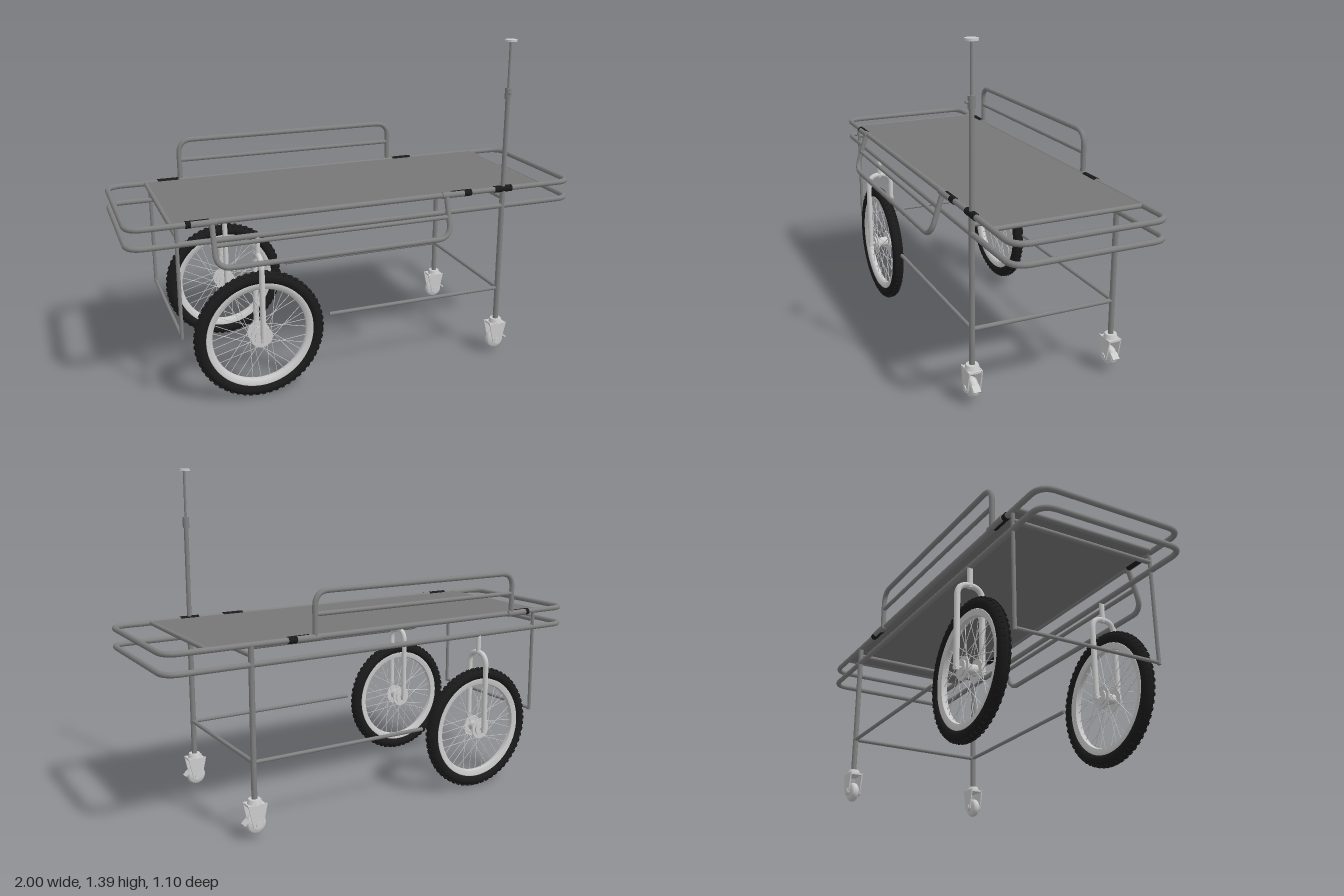
import * as THREE from 'three';
import { mergeGeometries } from 'three/addons/utils/BufferGeometryUtils.js';

const mat = (color) => new THREE.MeshStandardMaterial({ color });
const steel = mat(0x808080), light = mat(0xcccccc), black = mat(0x1a1a1a);
const canvas = mat(0x777777);
const V = (x, y, z) => new THREE.Vector3(x, y, z);

const HALF_L = 0.953, SIDE = 0.305, DECK = 0.765, LOWER = 0.69;
const LEG_X = 0.618, POST_X = -0.77, WHEEL_X = -0.46, AXLE_Y = 0.273;

function add(parent, name, geometry, material, x = 0, y = 0, z = 0) {
  const m = new THREE.Mesh(geometry, material);
  m.name = name;
  m.position.set(x, y, z);
  parent.add(m);
  return m;
}

// Straight cylinder between two points
function rodGeometry(a, b, r, sides = 14) {
  const d = b.clone().sub(a);
  const g = new THREE.CylinderGeometry(r, r, d.length(), sides);
  g.applyQuaternion(new THREE.Quaternion().setFromUnitVectors(V(0, 1, 0), d.normalize()));
  const c = a.clone().add(b).multiplyScalar(0.5);
  return g.translate(c.x, c.y, c.z);
}
const rod = (parent, name, a, b, r, material = steel) =>
  add(parent, name, rodGeometry(a, b, r), material);

// Bent pipe through corner points with rounded bends
function bentPipe(points, bend, r, closed, segments) {
  const path = new THREE.CurvePath();
  const n = points.length;
  const toward = (p, q) => p.clone().add(q.clone().sub(p).setLength(bend));
  let last = closed ? toward(points[0], points[1]) : points[0];
  for (let i = 1; i < (closed ? n + 1 : n - 1); i++) {
    const p = points[i % n];
    const a = toward(p, points[i - 1]), b = toward(p, points[(i + 1) % n]);
    path.add(new THREE.LineCurve3(last, a));
    path.add(new THREE.QuadraticBezierCurve3(a, p, b));
    last = b;
  }
  if (!closed) path.add(new THREE.LineCurve3(last, points[n - 1]));
  return new THREE.TubeGeometry(path, segments, r, 12, closed);
}

// Large spoked wheel, axle along z
function spokedWheel() {
  const g = new THREE.Group();
  g.name = 'largeWheel';
  const tyre = [new THREE.TorusGeometry(0.24, 0.0245, 16, 72)];
  for (let i = 0; i < 60; i++) {
    for (const s of [-1, 1]) {
      const b = new THREE.BoxGeometry(0.013, 0.007, 0.012);
      b.rotateX(s * 0.5).translate(0, 0.2615, s * 0.011);
      tyre.push(b.rotateZ((i + s * 0.25) * Math.PI / 30));
    }
  }
  add(g, 'tyre', mergeGeometries(tyre), black);
  const profile = [[0.196, -0.012], [0.218, -0.018], [0.222, -0.014], [0.216, 0],
    [0.222, 0.014], [0.218, 0.018], [0.196, 0.012], [0.193, 0], [0.196, -0.012]];
  const rim = new THREE.LatheGeometry(profile.map(p => new THREE.Vector2(...p)), 72);
  const rimMesh = add(g, 'rim', rim.rotateX(Math.PI / 2), light);
  rimMesh.material = light.clone();
  rimMesh.material.side = THREE.DoubleSide;

  const spokes = [];
  for (let i = 0; i < 36; i++) {
    const a = i * Math.PI / 18, s = i % 2 ? 1 : -1;
    const h = a + (i % 4 < 2 ? 0.9 : -0.9);
    spokes.push(rodGeometry(V(0.04 * Math.cos(h), 0.04 * Math.sin(h), s * 0.027),
      V(0.197 * Math.cos(a), 0.197 * Math.sin(a), 0), 0.0014, 5));
  }
  add(g, 'spokes', mergeGeometries(spokes), light);
  const z = (r, len, at = 0) =>
    new THREE.CylinderGeometry(r, r, len, 28).rotateX(Math.PI / 2).translate(0, 0, at);
  add(g, 'hub', mergeGeometries([z(0.022, 0.07), z(0.045, 0.005, 0.027),
    z(0.045, 0.005, -0.027), z(0.03, 0.006, 0.033), z(0.03, 0.006, -0.033)]), light);
  add(g, 'axle', mergeGeometries([z(0.006, 0.125), z(0.011, 0.008, 0.058),
    z(0.011, 0.008, -0.058)]), light);
  return g;
}

// Small swivel caster, origin on the ground below its leg
function caster() {
  const g = new THREE.Group();
  g.name = 'caster';
  add(g, 'swivelHead', new THREE.CylinderGeometry(0.024, 0.03, 0.02, 20), light, 0, 0.162);
  add(g, 'forkTop', new THREE.BoxGeometry(0.07, 0.008, 0.054), light, 0, 0.15, 0);
  const plate = new THREE.Shape([[-0.042, 0.155], [-0.03, 0.1], [-0.02, 0.065], [0, 0.055],
    [0.018, 0.065], [0.026, 0.1], [0.038, 0.155]].map(p => new THREE.Vector2(...p)));
  for (const s of [-1, 1]) {
    const p = new THREE.ExtrudeGeometry(plate, { depth: 0.005, bevelEnabled: false });
    add(g, 'forkPlate', p, light, 0, 0, s * 0.026 - 0.0025);
  }
  const wheel = [[0.012, -0.019], [0.033, -0.016], [0.039, -0.009], [0.041, 0],
    [0.039, 0.009], [0.033, 0.016], [0.012, 0.019]];
  const tread = new THREE.LatheGeometry(wheel.map(p => new THREE.Vector2(...p)), 32);
  add(g, 'casterWheel', tread.rotateX(Math.PI / 2), light, -0.003, 0.073, 0);
  add(g, 'casterAxle', new THREE.CylinderGeometry(0.013, 0.013, 0.064, 16)
    .rotateX(Math.PI / 2), light, -0.003, 0.073, 0);
  const pedal = add(g, 'brakePedal', new THREE.BoxGeometry(0.03, 0.006, 0.03), light, 0.038, 0.085, 0);
  pedal.rotation.z = -0.7;
  return g;
}

// Side guard standing up from its hinge line at y = 0
function sideGuard() {
  const g = new THREE.Group();
  g.name = 'sideGuard';
  const x0 = -0.635, x1 = 0.35, h = 0.178;
  add(g, 'guardHoop', bentPipe([V(x0, 0, 0), V(x0, h, 0), V(x1, h, 0), V(x1, 0, 0)],
    0.06, 0.011, false, 130), steel);
  rod(g, 'guardMiddleBar', V(x0, 0.09, 0), V(x1, 0.09, 0), 0.009);
  for (const x of [x0 - 0.03, x1 + 0.03]) rod(g, 'guardFoot', V(x - 0.05, 0, 0), V(x + 0.05, 0, 0), 0.0135);
  return g;
}

export function createModel() {
  const model = new THREE.Group();
  model.name = 'stretcherTrolley';
  const body = new THREE.Group();
  body.name = 'trolleyBody';
  body.rotation.y = 0.274;
  model.add(body);

  // Two stacked loop frames and the lying surface
  for (const y of [DECK, LOWER]) {
    const loop = [[-1, -1], [1, -1], [1, 1], [-1, 1]].map(([i, j]) => V(i * HALF_L, y, j * SIDE));
    add(body, y === DECK ? 'upperFrame' : 'lowerFrame', bentPipe(loop, 0.065, 0.0115, true, 300), steel);
  }
  add(body, 'lyingSurface', new THREE.BoxGeometry(1.58, 0.012, 0.6), canvas, 0, DECK + 0.001, 0);
  for (const x of [-0.787, 0.787]) rod(body, 'surfaceEndBar', V(x, DECK, -SIDE), V(x, DECK, SIDE), 0.0095);

  // Cross bars
  for (const x of [POST_X, LEG_X]) {
    rod(body, 'upperCrossBar', V(x, 0.725, -SIDE), V(x, 0.725, SIDE), 0.0095);
    rod(body, 'lowerCrossBar', V(x, 0.312, -SIDE), V(x, 0.312, SIDE), x > 0 ? 0.009 : 0.007);
  }

  for (const s of [-1, 1]) {
    const z = s * SIDE;
    // Legs, posts and lengthwise bars
    rod(body, 'casterLeg', V(LEG_X, 0.165, z), V(LEG_X, DECK, z), 0.0115);
    rod(body, 'endPost', V(POST_X, 0.305, z), V(POST_X, DECK, z), 0.0075);
    rod(body, 'lowerSideBar', V(-0.165, 0.312, z), V(LEG_X, 0.312, z), 0.008);
    for (const x of [-0.69, 0.42]) rod(body, 'frameClamp', V(x - 0.045, DECK, z), V(x + 0.045, DECK, z), 0.0145, black);

    const c = caster();
    c.position.set(LEG_X, -0.004, z);
    body.add(c);

    // Large wheel with its fork
    const w = spokedWheel();
    w.position.set(WHEEL_X, AXLE_Y, z);
    body.add(w);
    const d = 0.053;
    add(body, 'wheelFork', bentPipe([V(WHEEL_X, AXLE_Y - 0.012, z - d), V(WHEEL_X, 0.61, z - d),
      V(WHEEL_X, 0.61, z + d), V(WHEEL_X, AXLE_Y - 0.012, z + d)], 0.052, 0.0115, false, 90), light);
    rod(body, 'forkStem', V(WHEEL_X, 0.6, z), V(WHEEL_X, LOWER, z), 0.0105, light);
  }

  // One guard raised, the other folded down and outward
  const raised = sideGuard();
  raised.position.set(0, DECK, -SIDE - 0.005);
  body.add(raised);
  const folded = sideGuard();
  folded.position.set(0, DECK, SIDE + 0.004);
  folded.rotation.x = Math.PI - 0.31;
  body.add(folded);

  // Telescopic infusion pole
  const pole = new THREE.Group();
  pole.name = 'infusionPole';
  pole.position.set(LEG_X, 0, SIDE);
  body.add(pole);
  rod(pole, 'poleTube', V(0, DECK, 0), V(0, 1.16, 0), 0.0095);
  rod(pole, 'poleClamp', V(-0.04, DECK, 0), V(0.04, DECK, 0), 0.0145, black);
  rod(pole, 'poleSleeve', V(0, 1.15, 0), V(0, 1.195, 0), 0.0135);
  rod(pole, 'sleeveKnob', V(0, 1.173, 0), V(0, 1.173, 0.024), 0.005);
  rod(pole, 'poleRod', V(0, 1.16, 0), V(0, 1.387, 0), 0.005);
  rod(pole, 'poleTopDisc', V(0, 1.383, 0), V(0, 1.392, 0), 0.025, light);
  return model;
}
